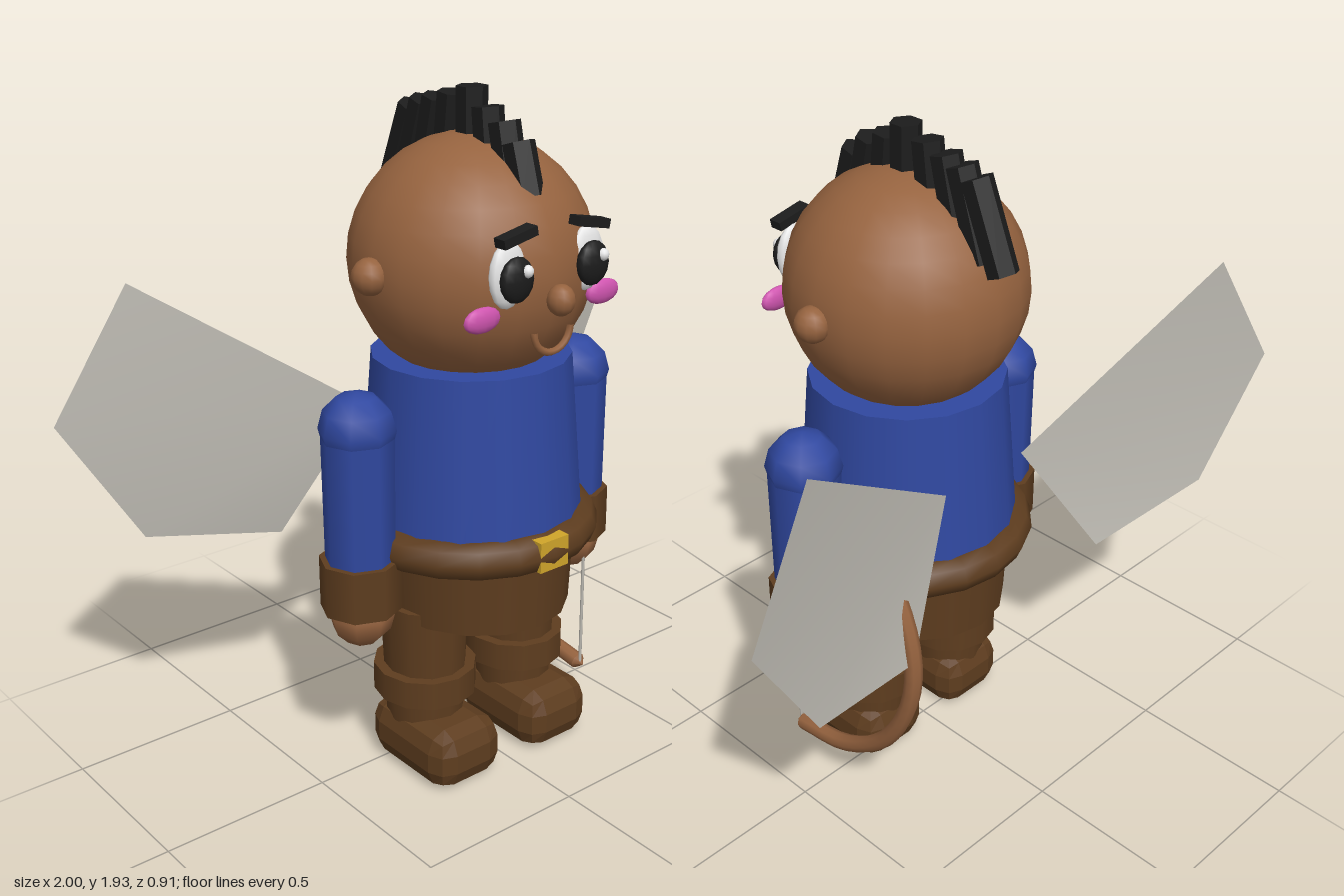
import * as THREE from 'three';
import { RoundedBoxGeometry } from 'three/addons/geometries/RoundedBoxGeometry.js';

const CZ = 0.062; // body axis depth

export function createModel() {
  const root = new THREE.Group();
  root.name = 'wingedArcher';

  const mat = (name, color) => {
    const m = new THREE.MeshStandardMaterial({ color });
    m.name = name;
    return m;
  };
  const skin = mat('skin brown', 0x96633f);
  const blue = mat('shirt blue', 0x3048a0);
  const brown = mat('trouser brown', 0x5e3d1f);
  const black = mat('black', 0x1c1c1c);
  const white = mat('white', 0xe6e6e6);
  const pink = mat('cheek pink', 0xd055b0);
  const gold = mat('buckle gold', 0xd0a52a);
  const grey = mat('wing grey', 0xbebbb3);
  grey.side = THREE.DoubleSide;

  const add = (name, geo, material, x, y, z, parent = root) => {
    const m = new THREE.Mesh(geo, material);
    m.name = name;
    m.position.set(x, y, z);
    parent.add(m);
    return m;
  };
  const ball = (name, material, r, x, y, z, sx = 1, sy = 1, sz = 1, w = 12, h = 8) => {
    const m = add(name, new THREE.SphereGeometry(r, w, h), material, x, y, z);
    m.scale.set(sx, sy, sz);
    return m;
  };
  // Upright cylinder between two heights
  const drum = (name, material, rTop, rBottom, y0, y1, x, seg) =>
    add(name, new THREE.CylinderGeometry(rTop, rBottom, y1 - y0, seg), material, x, (y0 + y1) / 2, CZ);

  // Trunk
  drum('shirt', blue, 0.278, 0.315, 0.75, 1.222, 0, 16);
  drum('hips', brown, 0.312, 0.3, 0.485, 0.72, 0, 16).scale.x = 0.9;
  const belt = add('belt', new THREE.TorusGeometry(0.31, 0.054, 8, 20), brown, 0, 0.725, CZ);
  belt.rotation.x = Math.PI / 2;
  add('buckle', new THREE.BoxGeometry(0.1, 0.088, 0.04), gold, 0, 0.729, 0.396);

  // Head and face
  ball('head', skin, 0.335, 0, 1.485, CZ, 1, 1, 1, 20, 16);
  ball('nose', skin, 0.038, 0, 1.44, 0.415, 1, 1.1, 1);
  const smile = add('mouth', new THREE.TorusGeometry(0.063, 0.01, 6, 12, Math.PI), skin, 0, 1.358, 0.385);
  smile.rotation.z = Math.PI;
  for (const s of [-1, 1]) {
    ball('ear', skin, 0.05, s * 0.338, 1.485, CZ);
    ball('eyeWhite', white, 1, s * 0.135, 1.517, 0.362, 0.06, 0.088, 0.024);
    ball('pupil', black, 1, s * 0.13, 1.51, 0.392, 0.053, 0.06, 0.026);
    ball('eyeGlint', white, 0.017, s * 0.13 + 0.018, 1.533, 0.41);
    ball('cheek', pink, 1, s * 0.208, 1.412, 0.352, 0.06, 0.034, 0.017);
    const brow = add('eyebrow', new THREE.BoxGeometry(0.11, 0.025, 0.04), black, s * 0.125, 1.618, 0.382);
    brow.rotation.z = -s * 0.2;
  }

  // Mohawk rods: top end depth, top end height, lean
  const rods = [
    [0.245, 1.815, 0.3], [0.19, 1.86, 0.22], [0.125, 1.89, 0.1], [0.062, 1.935, 0],
    [-0.015, 1.91, -0.12], [-0.08, 1.89, -0.24], [-0.135, 1.875, -0.32], [-0.185, 1.855, -0.4],
  ];
  for (const [z, y, lean] of rods) {
    const len = Math.abs(lean) > 0.29 && z > 0 ? 0.14 : 0.25;
    const rod = add('hairRod', new THREE.CylinderGeometry(0.043, 0.043, len, 6).toNonIndexed(), black,
      0, y - Math.cos(lean) * len / 2, z + Math.sin(lean) * len / 2);
    rod.geometry.computeVertexNormals();
    rod.rotation.x = -lean;
  }

  // Arms and legs
  for (const s of [-1, 1]) {
    const ax = s * 0.39, lx = s * 0.17;
    ball('shoulder', blue, 0.106, ax, 1.08, CZ, 1, 1, 1, 8, 6);
    drum('sleeve', blue, 0.1, 0.097, 0.68, 1.1, ax, 8);
    drum('sleeveCuff', brown, 0.114, 0.114, 0.56, 0.708, ax, 8);
    ball('hand', skin, 0.093, ax, 0.54, CZ, 1, 1, 1, 8, 6);
    drum('trouserLeg', brown, 0.133, 0.117, 0.15, 0.52, lx, 12).scale.x = 0.94;
    drum('trouserCuff', brown, 0.153, 0.153, 0.232, 0.315, lx, 12).scale.x = 0.96;
    const shoeGeo = new RoundedBoxGeometry(0.24, 0.178, 0.35, 1, 0.06);
    shoeGeo.computeVertexNormals();
    add('shoe', shoeGeo, brown, lx, 0.089, 0.11);
  }

  // Wings: flat five-cornered panels
  for (const s of [-1, 1]) {
    const pts = [
      [0.15, 1.01, -0.235], [0.38, 0.633, -0.345], [0.78, 0.71, -0.417],
      [1.0, 1.08, -0.455], [0.78, 1.443, -0.415],
    ];
    const geo = new THREE.BufferGeometry();
    geo.setAttribute('position', new THREE.Float32BufferAttribute(
      pts.flatMap(([x, y, z]) => [s * x, y, z]), 3));
    geo.setIndex(s > 0 ? [0, 1, 2, 0, 2, 3, 0, 3, 4] : [0, 2, 1, 0, 3, 2, 0, 4, 3]);
    geo.computeVertexNormals();
    add('wing', geo, grey, 0, 0, 0);
  }

  // Bow in the left hand, with pointed tips
  const bow = new THREE.Group();
  bow.name = 'bow';
  root.add(bow);
  const path = new THREE.CatmullRomCurve3([
    [0.125, 0.13], [-0.06, 0.165], [-0.23, 0.29], [-0.335, 0.5],
    [-0.342, 0.68], [-0.27, 0.86], [-0.12, 1.025],
  ].map(([z, y]) => new THREE.Vector3(0.387, y, z)));
  add('bowLimb', new THREE.TubeGeometry(path, 24, 0.025, 8), skin, 0, 0, 0, bow);
  for (const [t, dir] of [[0, -1], [1, 1]]) {
    const p = path.getPoint(t), d = path.getTangent(t).multiplyScalar(dir);
    const tip = add('bowTip', new THREE.ConeGeometry(0.025, 0.024, 8), skin, 0, 0, 0, bow);
    tip.position.copy(p).addScaledVector(d, 0.012);
    tip.quaternion.setFromUnitVectors(new THREE.Vector3(0, 1, 0), d);
  }
  add('bowString', new THREE.CylinderGeometry(0.005, 0.005, 0.45, 6), grey, 0.385, 0.35, 0.137, bow);

  return root;
}
